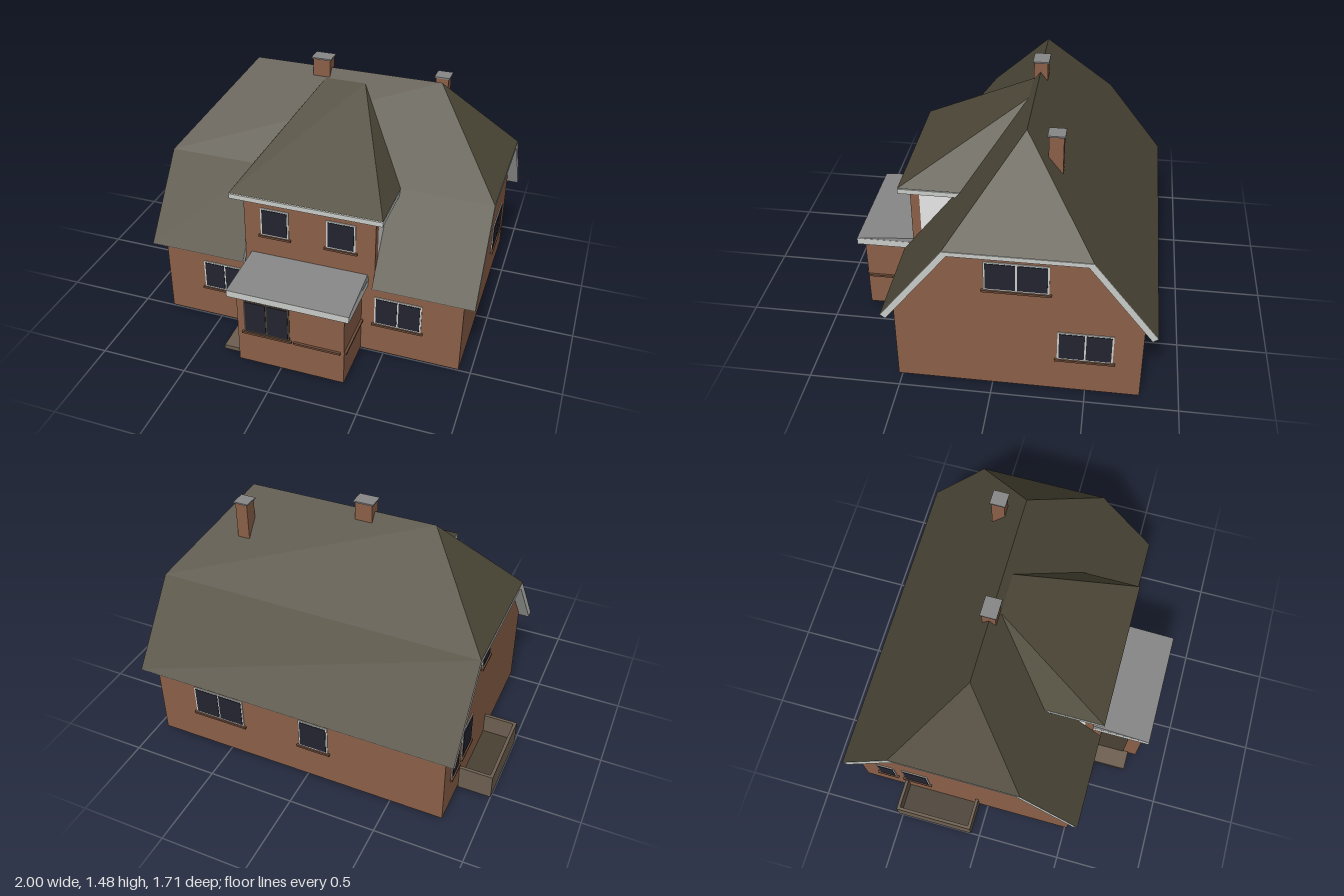
import * as THREE from 'three';

const material = (name, color, side = THREE.FrontSide) => {
  const m = new THREE.MeshStandardMaterial({ color, side });
  m.name = name;
  return m;
};

export function createModel() {
  const house = new THREE.Group();
  house.name = 'house';

  const brick = material('brick', 0x8a6048);
  const tile = material('roof tile', 0x4d4838, THREE.DoubleSide);
  const trim = material('pale trim', 0xc8cbc8);
  const glass = material('dark glass', 0x23232f);
  const sillBrown = material('sill brown', 0x6b4a38);
  const stone = material('weathered stone', 0x6d5f50);
  const lead = material('grey lead', 0x868686);
  const plaster = material('white plaster', 0xffffff);
  const timber = material('dark timber', 0x4a4034);

  const add = (name, geometry, mat, parent = house) => {
    const mesh = new THREE.Mesh(geometry, mat);
    mesh.name = name;
    parent.add(mesh);
    return mesh;
  };

  // Box given by its limits on each axis
  const box = (name, mat, [x0, x1], [y0, y1], [z0, z1], parent = house) => {
    const g = new THREE.BoxGeometry(x1 - x0, y1 - y0, z1 - z0);
    g.translate((x0 + x1) / 2, (y0 + y1) / 2, (z0 + z1) / 2);
    return add(name, g, mat, parent);
  };

  // Profile of [z, y] points drawn out along x
  const prism = (name, mat, [x0, x1], points) => {
    const shape = new THREE.Shape(points.map(([z, y]) => new THREE.Vector2(z, y)));
    const g = new THREE.ExtrudeGeometry(shape, { depth: x1 - x0, bevelEnabled: false });
    g.rotateY(-Math.PI / 2).translate(x1, 0, 0);
    return add(name, g, mat);
  };

  // Flat convex panels, corners counter-clockwise from outside
  const panels = (name, mat, faces) => {
    const pos = [];
    for (const f of faces) {
      for (let i = 1; i < f.length - 1; i++) pos.push(...f[0], ...f[i], ...f[i + 1]);
    }
    const g = new THREE.BufferGeometry();
    g.setAttribute('position', new THREE.Float32BufferAttribute(pos, 3));
    g.computeVertexNormals();
    return add(name, g, mat);
  };

  // Main walls
  prism('mainWalls', brick, [-0.81, 0.935], [
    [-0.79, 0.02], [0.515, 0.02], [0.515, 0.504], [0.206, 0.905], [-0.491, 0.905], [-0.79, 0.517],
  ]);

  // Pale roof edges and soffits, with a gap at the front for the dormer
  const L = -0.87, R = 1.0, dL = -0.31, dR = 0.44;
  const frontSlab = [[0.57, 0.49], [0.23, 0.93], [0.206, 0.905], [0.542, 0.469]];
  prism('frontRoofEdge', trim, [L, dL], frontSlab);
  prism('frontRoofEdge', trim, [dR, R], frontSlab);
  prism('hipRoofEdge', trim, [L, R], [[0.23, 0.93], [-0.515, 0.93], [-0.491, 0.905], [0.206, 0.905]]);
  prism('backRoofEdge', trim, [L, R], [[-0.515, 0.93], [-0.855, 0.49], [-0.827, 0.469], [-0.491, 0.905]]);

  // Half-hipped main roof
  const ridgeL = [-0.47, 1.41, -0.14], ridgeR = [0.6, 1.41, -0.14];
  const fl = [L, 0.93, 0.23], fr = [R, 0.93, 0.23];
  const bl = [L, 0.93, -0.515], br = [R, 0.93, -0.515];
  const lowerFront = (x0, x1) => [[x0, 0.49, 0.57], [x1, 0.49, 0.57], [x1, 0.93, 0.23], [x0, 0.93, 0.23]];
  panels('mainRoof', tile, [
    [fl, fr, ridgeR, ridgeL],
    lowerFront(L, dL),
    lowerFront(dR, R),
    [br, bl, ridgeL, ridgeR],
    [[R, 0.49, -0.855], [L, 0.49, -0.855], bl, br],
    [bl, fl, ridgeL],
    [fr, br, ridgeR],
  ]).position.y = 0.003;

  // Dormer: front wall, side cheeks, soffit and hipped roof
  box('dormerWall', brick, [dL, dR], [0.5, 0.9], [0.465, 0.515]);
  for (const x of [dL, dR - 0.01]) {
    prism('dormerCheek', plaster, [x, x + 0.01], [[0.465, 0.52], [0.465, 0.905], [0.2, 0.905]]);
  }
  box('dormerSoffit', trim, [-0.37, 0.49], [0.9, 0.928], [0.23, 0.57]);
  const dfl = [-0.37, 0.93, 0.57], dfr = [0.49, 0.93, 0.57];
  const dtl = [-0.05, 1.36, -0.1], dtr = [0.18, 1.36, -0.1];
  panels('dormerRoof', tile, [
    [dfl, dfr, dtr, dtl],
    [[-0.37, 0.93, 0.23], dfl, dtl],
    [dfr, [0.49, 0.93, 0.23], dtr],
  ]).position.y = 0.003;

  // Porch with a shallow lead canopy
  box('porchWalls', brick, [-0.24, 0.37], [0.02, 0.475], [0.5, 0.82]);
  box('canopyEdge', trim, [-0.28, 0.405], [0.47, 0.51], [0.515, 0.855]);
  const c = [[-0.28, 0.511, 0.855], [0.405, 0.511, 0.855], [0.4, 0.538, 0.515], [-0.275, 0.538, 0.515]];
  panels('canopyTop', lead, [
    c,
    [c[1], [0.405, 0.511, 0.515], c[2]],
    [[-0.28, 0.511, 0.515], c[0], c[3]],
  ]);
  box('porchStep', stone, [-0.355, -0.24], [0.015, 0.04], [0.515, 0.77]);

  // Things fixed to a wall: built facing +z, then turned to the wall
  const onWall = {
    front: (g, u, d) => g.position.set(u, 0, d),
    back: (g, u, d) => { g.position.set(u, 0, d); g.rotation.y = Math.PI; },
    left: (g, u, d) => { g.position.set(d, 0, u); g.rotation.y = Math.PI / 2; },
    right: (g, u, d) => { g.position.set(d, 0, u); g.rotation.y = -Math.PI / 2; },
  };
  const sill = (w, y, parent) =>
    box('windowSill', sillBrown, [-w / 2 - 0.012, w / 2 + 0.012], [y - 0.012, y], [-0.005, 0.014], parent);
  const windowUnit = (wall, d, u0, u1, y0, y1, panes, frame = trim) => {
    const g = new THREE.Group();
    g.name = 'window';
    const w = u1 - u0, t = 0.009;
    box('windowFrame', frame, [-w / 2, w / 2], [y0, y1], [0, 0.005], g);
    const pw = (w - t * (panes + 1)) / panes;
    for (let i = 0; i < panes; i++) {
      const x = -w / 2 + t + i * (pw + t);
      box('windowPane', glass, [x, x + pw], [y0 + t, y1 - t], [0.001, 0.008], g);
    }
    sill(w, y0, g);
    onWall[wall](g, (u0 + u1) / 2, d);
    house.add(g);
  };

  windowUnit('front', 0.515, -0.58, -0.32, 0.22, 0.4, 2);
  windowUnit('front', 0.515, 0.445, 0.71, 0.22, 0.4, 2);
  windowUnit('front', 0.515, -0.213, -0.05, 0.667, 0.84, 1);
  windowUnit('front', 0.515, 0.165, 0.33, 0.667, 0.84, 1);
  windowUnit('front', 0.82, -0.2, 0.063, 0.232, 0.443, 2, timber);
  windowUnit('left', 0.935, -0.298, 0.037, 0.667, 0.842, 2);
  windowUnit('left', 0.935, -0.638, -0.345, 0.237, 0.42, 2);
  windowUnit('back', -0.79, 0.39, 0.7, 0.232, 0.415, 2);
  windowUnit('back', -0.79, -0.135, 0.04, 0.232, 0.415, 1);
  windowUnit('right', -0.81, -0.68, -0.57, 0.22, 0.4, 1);
  windowUnit('right', -0.81, -0.52, -0.36, 0.22, 0.42, 1);
  windowUnit('right', -0.81, -0.53, -0.43, 0.667, 0.82, 1);
  windowUnit('right', -0.81, -0.26, -0.13, 0.667, 0.842, 1);

  // Bare sills on the porch
  for (const [wall, u, d, w] of [['front', 0.22, 0.82, 0.24], ['left', 0.67, 0.37, 0.27]]) {
    const g = new THREE.Group();
    g.name = 'porchSill';
    sill(w, 0.232, g);
    onWall[wall](g, u, d);
    house.add(g);
  }

  // Porch door above the step
  box('porchDoor', timber, [-0.245, -0.239], [0.04, 0.43], [0.57, 0.74]);

  // Chimneys with flat caps
  for (const [x, z, w, d, y0, y1] of [
    [-0.078, -0.142, 0.098, 0.075, 1.34, 1.468],
    [0.578, -0.287, 0.07, 0.075, 1.05, 1.388],
  ]) {
    box('chimney', brick, [x - w / 2, x + w / 2], [y0, y1], [z - d / 2, z + d / 2]);
    const a = w / 2 + 0.008, b = d / 2 + 0.007;
    box('chimneyCap', lead, [x - a, x + a], [y1, y1 + 0.008], [z - b, z + b]);
  }

  // Low walled enclosure beside the house
  box('enclosureOuterWall', stone, [-1, -0.982], [0, 0.15], [-0.525, 0.055 - 0.11]);
  box('enclosureEndWall', stone, [-0.982, -0.81], [0, 0.15], [-0.525, -0.507]);
  box('enclosureEndWall', stone, [-0.982, -0.81], [0, 0.15], [-0.073, -0.055]);
  box('enclosureFloor', timber, [-0.982, -0.81], [0.02, 0.03], [-0.507, -0.073]);

  return house;
}
